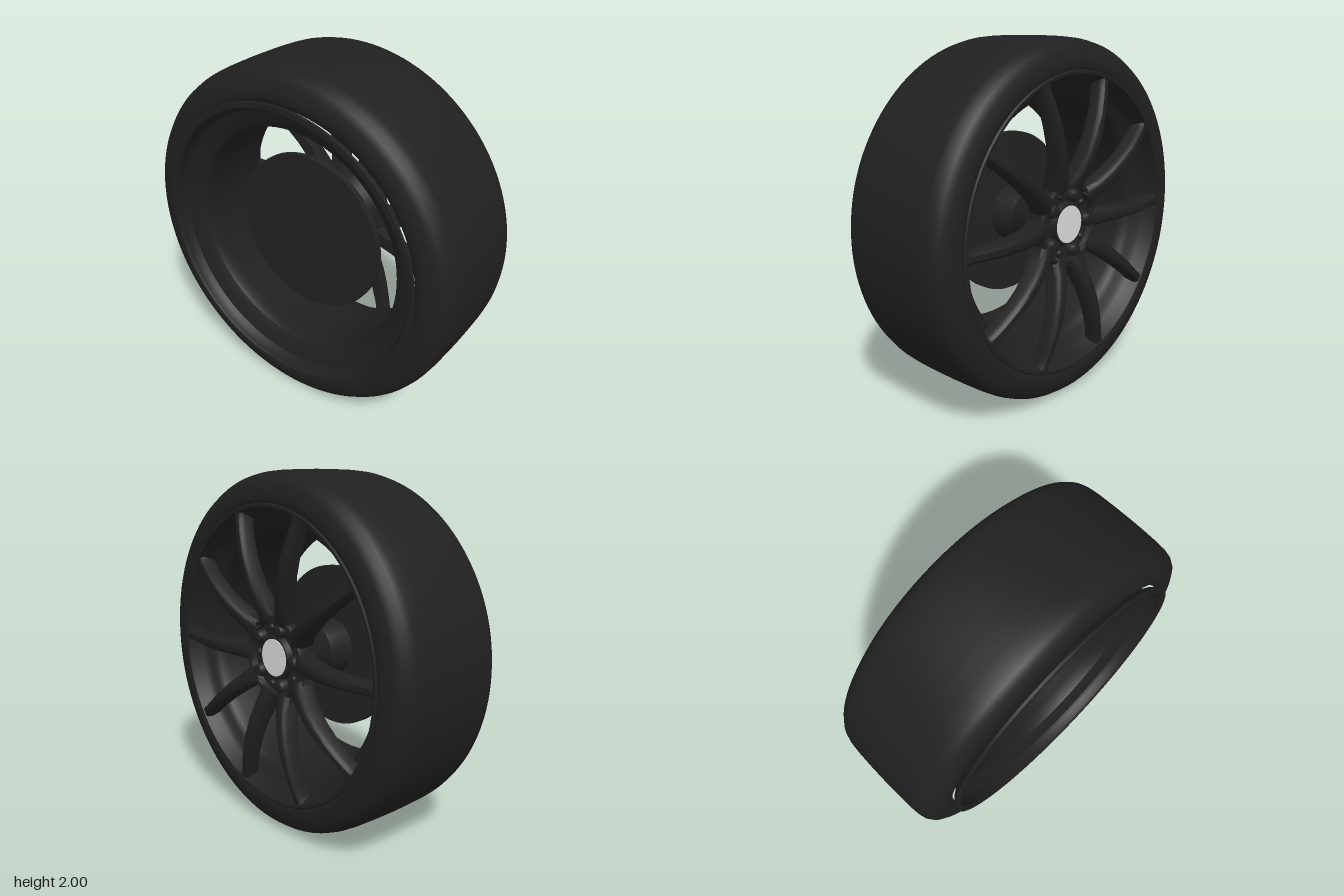
import * as THREE from 'three';
import { toCreasedNormals } from 'three/addons/utils/BufferGeometryUtils.js';

const flat = (name, color) => Object.assign(new THREE.MeshStandardMaterial({ color }), { name });

export function createModel() {
  const rubber = flat('tyre black', 0x202020);
  const alloy = flat('alloy black', 0x202020);
  const iron = flat('brake dark grey', 0x222222);
  const silver = flat('cap silver', 0xdcdcdc);

  // The wheel is built around the local y axis (outer face up), then tipped so that axis is +x
  const wheel = new THREE.Group();
  wheel.name = 'wheel';

  const add = (name, geometry, material) => {
    const mesh = new THREE.Mesh(geometry, material);
    mesh.name = name;
    wheel.add(mesh);
    return mesh;
  };
  // Turned part from [radius, axial position] points
  const lathe = (points, sides, crease = 0.6) => toCreasedNormals(
    new THREE.LatheGeometry(points.map(([r, a]) => new THREE.Vector2(r, a)), sides), crease);
  // Put a mesh at an angle and radius around the axis
  const place = (mesh, degrees, radius, height) => {
    const a = THREE.MathUtils.degToRad(degrees);
    mesh.position.set(radius * Math.cos(a), height, -radius * Math.sin(a));
    mesh.rotation.y = a;
  };

  // Tyre: symmetrical section with fairly square shoulders
  const side = [[1, 0], [0.999, 0.1], [0.996, 0.2], [0.991, 0.26], [0.981, 0.3], [0.96, 0.33],
    [0.925, 0.35], [0.88, 0.361], [0.85, 0.363], [0.83, 0.359], [0.805, 0.34]];
  add('tyre', lathe([...side.slice(1).reverse().map(([r, a]) => [r, -a]), ...side], 128, 0.9), rubber);

  // Rim: front lip, dished shelf, long barrel narrowing to a throat near the back, and back lip
  add('rim', lathe([[0.83, 0.33], [0.83, 0.362], [0.822, 0.368], [0.808, 0.366], [0.803, 0.352], [0.79, 0.33],
    [0.775, 0.29], [0.75, 0.262], [0.72, 0.245], [0.695, 0.22], [0.682, 0.17], [0.672, 0.02], [0.658, -0.2],
    [0.655, -0.25], [0.665, -0.28], [0.695, -0.3], [0.74, -0.315], [0.77, -0.325], [0.785, -0.345],
    [0.79, -0.388], [0.80, -0.398], [0.83, -0.398], [0.832, -0.383], [0.80, -0.35]], 96), alloy);

  // Spokes: lofted along x from [radius, half width, crest, back]
  const stations = [[0.195, 0.064, 0.32, 0.2], [0.225, 0.06, 0.332, 0.212], [0.255, 0.052, 0.344, 0.228],
    [0.3, 0.047, 0.36, 0.25], [0.4, 0.043, 0.384, 0.283],
    [0.5, 0.04, 0.394, 0.3], [0.6, 0.037, 0.392, 0.302], [0.7, 0.034, 0.38, 0.295],
    [0.765, 0.033, 0.368, 0.28], [0.795, 0.038, 0.363, 0.275], [0.815, 0.05, 0.358, 0.28]];
  const positions = [], index = [], n = 8;
  stations.forEach(([r, w, top, back], i) => {
    const ledge = top - 0.03;
    [[w * 0.85, back], [w, ledge], [w * 0.75, top - 0.01], [w * 0.45, top],
      [-w * 0.45, top], [-w * 0.75, top - 0.01], [-w, ledge], [-w * 0.85, back]]
      .forEach(([z, y]) => positions.push(r, y, z));
    if (i === stations.length - 1) return;
    for (let j = 0; j < n; j++) {
      const a = i * n + j, c = i * n + (j + 1) % n;
      index.push(a, a + n, c, a + n, c + n, c);
    }
  });
  const loft = new THREE.BufferGeometry();
  loft.setAttribute('position', new THREE.Float32BufferAttribute(positions, 3));
  loft.setIndex(index);
  const spokeGeometry = toCreasedNormals(loft, 0.7);
  for (let i = 0; i < 10; i++) place(add('spoke', spokeGeometry, alloy), 18 + 36 * i, 0, 0);

  // Hub: tapering back, raised outer wall, recess for the nuts and a collar round the cap
  add('hub', lathe([[0, 0.03], [0.15, 0.03], [0.165, 0.06], [0.18, 0.14], [0.225, 0.2], [0.238, 0.3],
    [0.23, 0.32], [0.208, 0.322], [0.198, 0.285], [0.125, 0.28], [0.115, 0.312], [0.104, 0.312], [0.1, 0.29], [0, 0.29]], 64), alloy);

  // Centre cap
  const cap = add('centreCap', new THREE.CylinderGeometry(0.104, 0.104, 0.02, 48), silver);
  cap.position.y = 0.306;

  // Lug nuts and the small bolts between them
  const nut = lathe([[0.04, 0], [0.04, 0.03], [0.034, 0.042], [0.03, 0.055], [0.02, 0.06], [0, 0.06]], 16);
  const bolt = new THREE.SphereGeometry(0.02, 14, 8, 0, Math.PI * 2, 0, Math.PI / 2);
  for (let i = 0; i < 5; i++) {
    place(add('lugNut', nut, alloy), 90 + 72 * i, 0.163, 0.275);
    place(add('smallBolt', bolt, alloy), 126 + 72 * i, 0.168, 0.282);
  }

  // Brake disc and its central hat
  add('brakeDisc', lathe([[0, -0.155], [0.467, -0.155], [0.467, -0.12], [0, -0.12]], 72), iron);
  add('brakeHat', lathe([[0.16, -0.13], [0.15, 0], [0.14, 0.04]], 48), iron);

  // Tip the wheel upright with a touch of toe
  wheel.rotation.set(0, -0.01, -Math.PI / 2, 'YXZ');
  wheel.position.y = 1;
  const model = new THREE.Group();
  model.name = 'carWheel';
  model.add(wheel);
  return model;
}
